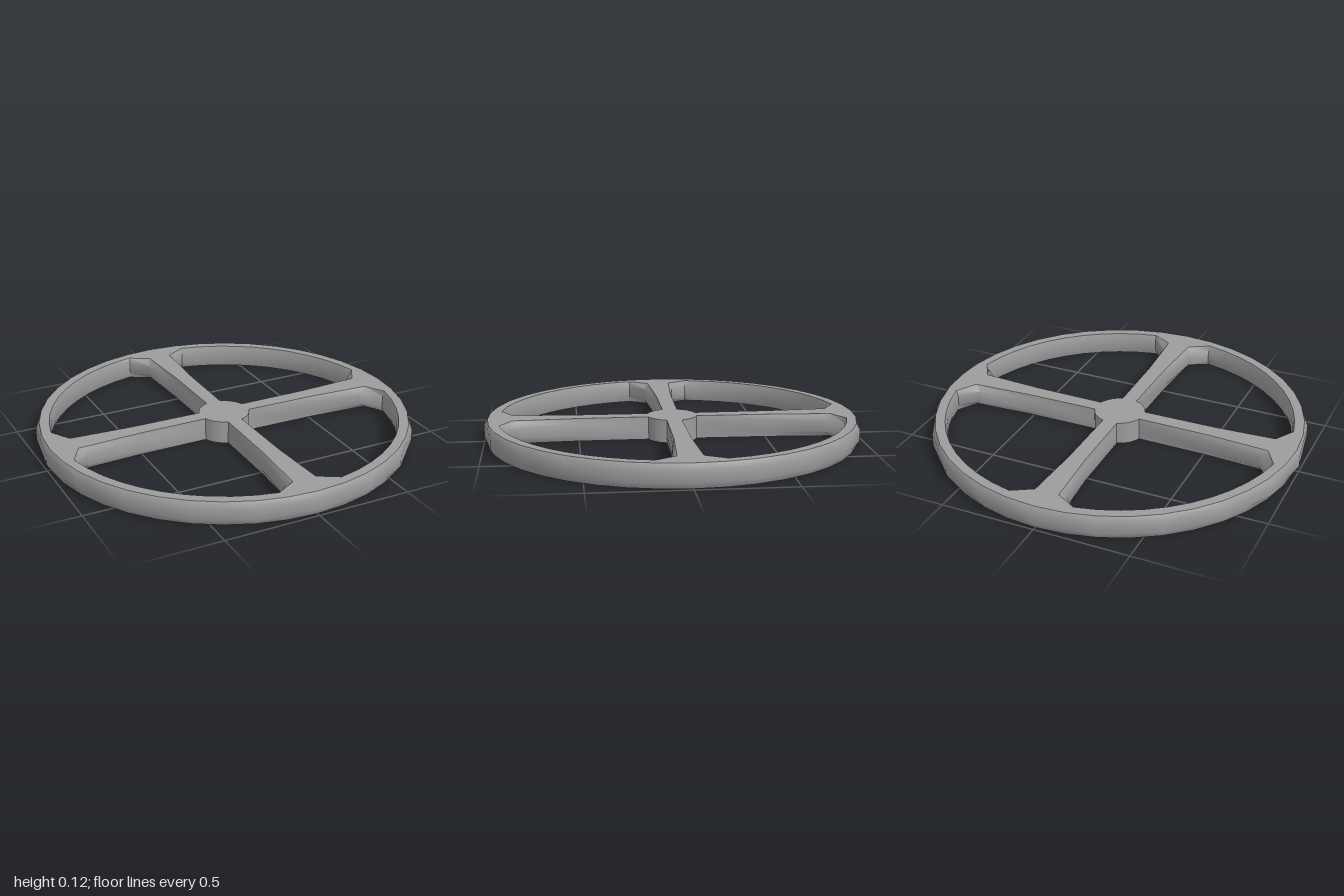
import * as THREE from 'three';
import { toCreasedNormals } from 'three/addons/utils/BufferGeometryUtils.js';

const H = 0.123, SIDES = 40, EDGE_R = 0.981, HUB_R = 0.135, ARC_STEPS = 10;
const material = new THREE.MeshStandardMaterial({ color: 0x9c9c9c });

// Outline of one opening between two spokes: belly 0 at the faces, 1 at mid height
function openingOutline(belly) {
  const mix = (a, b) => a + (b - a) * belly;
  const half = [
    [0.129, 0.04],
    [mix(0.52, 0.5), mix(0.044, 0.05)],
    [mix(0.85, 0.815), mix(0.063, 0.085)],
    [mix(0.913, 0.904), 0.17],
  ];
  const rimR = mix(0.929, 0.92), points = [...half];
  const start = Math.atan2(0.17, 0.905), sweep = Math.PI / 2 - 2 * start;
  for (let i = 1; i < ARC_STEPS; i++) {
    const a = start + (sweep * i) / ARC_STEPS;
    points.push([rimR * Math.cos(a), rimR * Math.sin(a)]);
  }
  for (const [x, z] of [...half].reverse()) points.push([z, x]);
  // hub arc back to the first spoke
  const hubStart = Math.atan2(0.04, 0.129);
  for (let i = 5; i > 0; i--) {
    const a = hubStart + ((Math.PI / 2 - 2 * hubStart) * i) / 6;
    points.push([HUB_R * Math.cos(a), HUB_R * Math.sin(a)]);
  }
  return points;
}

// Bevelled wall lofted round one opening, smooth through the flared spoke ends
function openingWall() {
  const levels = [[0, 0], [0.03, 1], [0.093, 1], [H, 0]];
  const loops = levels.map(([y, b]) => openingOutline(b).map(([x, z]) => [x, y, z]));
  const position = [];
  for (let l = 0; l < loops.length - 1; l++) {
    const low = loops[l], high = loops[l + 1];
    low.forEach((p, i) => {
      const j = (i + 1) % low.length;
      position.push(...p, ...low[j], ...high[i], ...low[j], ...high[j], ...high[i]);
    });
  }
  const geometry = new THREE.BufferGeometry();
  geometry.setAttribute('position', new THREE.Float32BufferAttribute(position, 3));
  return toCreasedNormals(geometry, 0.95);
}

// Outer band: round at its edges, twenty flats along the middle
function bandGeometry() {
  const profile = [[EDGE_R, 0], [1, 0.03], [1, 0.093], [EDGE_R, H]];
  const geometry = new THREE.LatheGeometry(profile.map(([r, y]) => new THREE.Vector2(r, y)), SIDES);
  const position = geometry.attributes.position, apothem = Math.cos((2 * Math.PI) / SIDES);
  for (let i = 0; i < position.count; i++) {
    const level = i % profile.length, column = Math.floor(i / profile.length);
    if (column % 2 === 1 && (level === 1 || level === 2)) {
      position.setX(i, position.getX(i) * apothem);
      position.setZ(i, position.getZ(i) * apothem);
    }
  }
  return geometry;
}

// Flat face with the four openings cut out
function faceGeometry() {
  const rim = [];
  for (let i = 0; i < SIDES; i++) {
    const a = (i / SIDES) * Math.PI * 2;
    rim.push(new THREE.Vector2(EDGE_R * Math.cos(a), EDGE_R * Math.sin(a)));
  }
  const shape = new THREE.Shape(rim);
  for (let k = 0; k < 4; k++) {
    const hole = openingOutline(0).map(([x, y]) =>
      new THREE.Vector2(x, y).rotateAround(new THREE.Vector2(), (k * Math.PI) / 2));
    shape.holes.push(new THREE.Path(hole));
  }
  return new THREE.ShapeGeometry(shape);
}

export function createModel() {
  const wheel = new THREE.Group();
  wheel.name = 'spokedWheel';
  const add = (name, geometry) => {
    const mesh = new THREE.Mesh(geometry, material);
    mesh.name = name;
    wheel.add(mesh);
    return mesh;
  };

  add('rimBand', bandGeometry());

  // Flat faces of rim, spokes and hub
  add('topFace', faceGeometry().rotateX(-Math.PI / 2)).position.y = H;
  add('bottomFace', faceGeometry().rotateX(Math.PI / 2));

  // Inner sides of rim, spokes and hub
  const wall = openingWall();
  for (let k = 0; k < 4; k++) add('openingWall' + (k + 1), wall).rotation.y = (k * Math.PI) / 2;

  return wheel;
}
